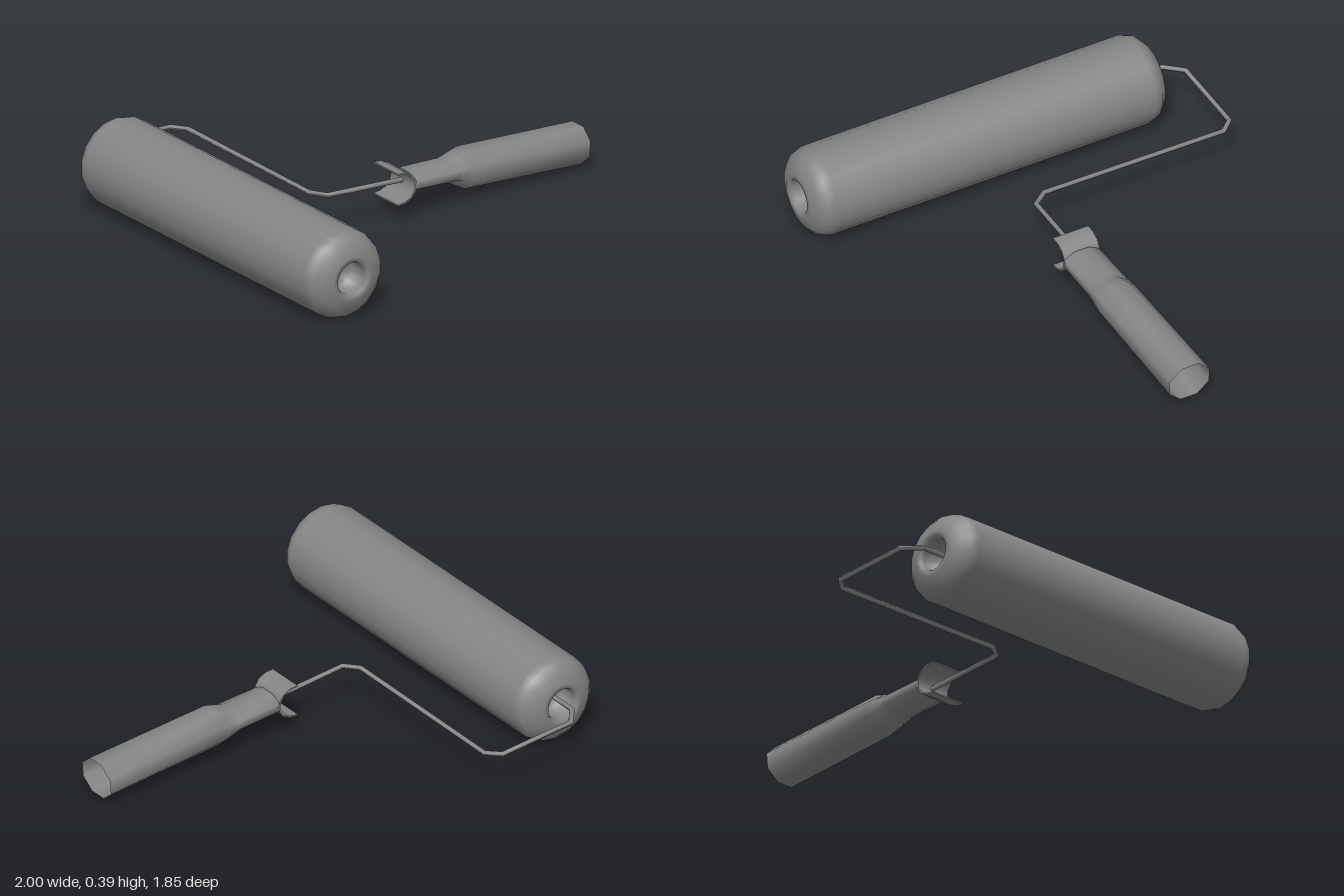
import * as THREE from 'three';
import { mergeVertices, toCreasedNormals } from 'three/addons/utils/BufferGeometryUtils.js';

const darkGrey = new THREE.MeshStandardMaterial({ color: 0x858585 });
const darkGreyOpen = new THREE.MeshStandardMaterial({ color: 0x858585, side: THREE.DoubleSide });

function part(name, geometry, material = darkGrey) {
  const mesh = new THREE.Mesh(geometry, material);
  mesh.name = name;
  return mesh;
}

// Skin through a row of closed rings that all have the same point count
function loft(rings) {
  const n = rings[0].length;
  const index = [];
  for (let i = 0; i < rings.length - 1; i++) {
    for (let j = 0; j < n; j++) {
      const a = i * n + j, b = i * n + (j + 1) % n;
      index.push(a, b, a + n, b, b + n, a + n);
    }
  }
  const geometry = new THREE.BufferGeometry().setFromPoints(rings.flat());
  geometry.setIndex(index);
  geometry.computeVertexNormals();
  return geometry;
}

// Padded roller: a cylinder with rounded shoulders and a dished hole at each end
function roller() {
  const half = 0.854;
  const end = [[0, 0.1], [0.068, 0.1], [0.07, 0.02], [0.078, 0.002], [0.1, 0.002],
    [0.15, 0.02], [0.183, 0.052], [0.196, 0.09]];
  const bottom = end.map(([r, inset]) => new THREE.Vector2(r, inset - half));
  const top = end.map(([r, inset]) => new THREE.Vector2(r, half - inset)).reverse();
  const geometry = new THREE.LatheGeometry([...bottom, ...top], 18);
  geometry.rotateX(Math.PI / 2);
  const mesh = part('roller', geometry);
  mesh.position.set(-0.804, 0.196, 0.067);
  return mesh;
}

// Bent wire frame: a thin rod with mitred corners, lying in a gently sloping plane
function frame() {
  const slope = -0.0625, radius = 0.011, sides = 6;
  const up = new THREE.Vector3(-slope, 1, 0).normalize();
  const path = [[-0.81, -0.69], [-0.81, -0.84], [-0.745, -0.917], [-0.385, -0.917],
    [-0.335, -0.86], [-0.345, 0], [-0.297, 0.064], [0.094, 0.064]]
    .map(([x, z]) => new THREE.Vector3(x, 0.15 + slope * x, z));
  const rings = path.map((p, i) => {
    const before = p.clone().sub(path[Math.max(i - 1, 0)]).normalize();
    const after = path[Math.min(i + 1, path.length - 1)].clone().sub(p).normalize();
    const along = before.clone().add(after).normalize();
    const mitre = 1 / Math.max(along.dot(before), along.dot(after));
    const across = up.clone().cross(along);
    return Array.from({ length: sides }, (_, j) => {
      const t = (j / sides) * Math.PI * 2;
      return p.clone()
        .addScaledVector(across, Math.cos(t) * radius * mitre)
        .addScaledVector(up, Math.sin(t) * radius);
    });
  });
  return part('wireFrame', toCreasedNormals(loft(rings), 1.1));
}

// Hollow eight-sided grip, flattened at the neck and open at the far end
function handle() {
  // x, centre height, half height, half width
  const sections = [[0.09, 0.146, 0.044, 0.084], [0.3, 0.136, 0.045, 0.086],
    [0.34, 0.133, 0.063, 0.087], [0.39, 0.127, 0.083, 0.088], [0.992, 0.091, 0.083, 0.095]];
  const rings = sections.map(([x, y, halfY, halfZ]) =>
    Array.from({ length: 8 }, (_, j) => {
      const t = ((j + 0.5) / 8) * Math.PI * 2, k = 1 / Math.cos(Math.PI / 8);
      const dy = Math.cos(t) * k * halfY;
      return new THREE.Vector3(x + dy * 0.08, y + dy, 0.07 + Math.sin(t) * k * halfZ);
    }));
  return part('handle', loft(rings), darkGreyOpen);
}

// Thin curved guard in front of the grip, opening toward the roller
function guard() {
  const curve = [[0, 0.22], [0.04, 0.217], [0.075, 0.199], [0.094, 0.17], [0.099, 0.146],
    [0.093, 0.121], [0.073, 0.094], [0.038, 0.078], [0, 0.074]];
  const centreY = 0.147, thin = 0.91;
  const inner = curve.map(([x, y]) => [x * thin, centreY + (y - centreY) * thin]).reverse();
  const shape = new THREE.Shape([...curve, ...inner].map(([x, y]) => new THREE.Vector2(x, y)));
  let geometry = new THREE.ExtrudeGeometry(shape, { depth: 0.17, bevelEnabled: false });
  geometry.deleteAttribute('normal');
  geometry.deleteAttribute('uv');
  geometry = toCreasedNormals(mergeVertices(geometry), 0.8);
  geometry.translate(0, 0, -0.015);
  return part('guard', geometry);
}

export function createModel() {
  const model = new THREE.Group();
  model.name = 'paintRoller';
  model.add(roller(), frame(), handle(), guard());
  return model;
}
